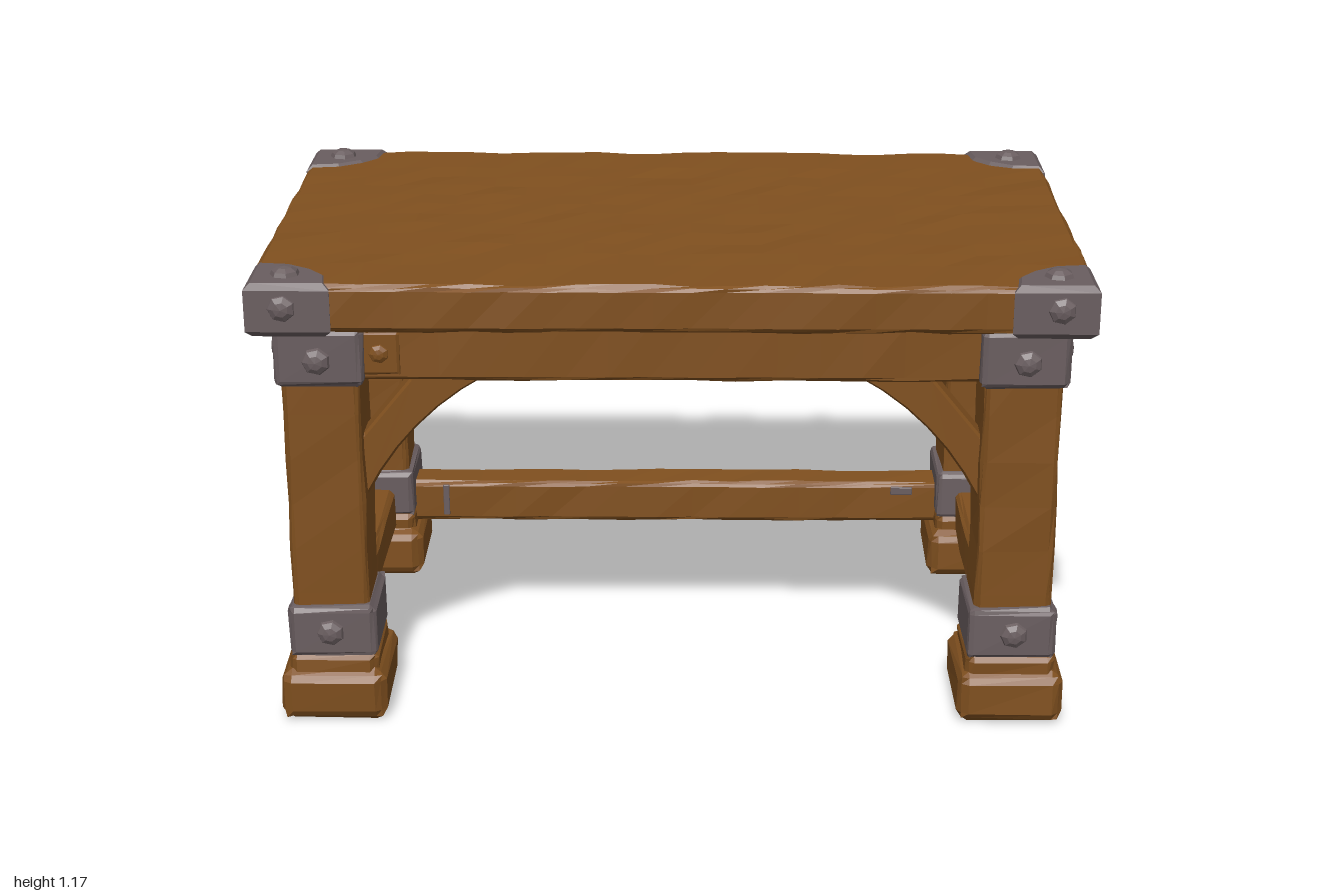
import * as THREE from 'three';

const wood = new THREE.MeshStandardMaterial({ color: 0x80501f, flatShading: true });
wood.name = 'warm wood';
const iron = new THREE.MeshStandardMaterial({ color: 0x6a5e60, flatShading: true });
iron.name = 'grey iron';

// repeatable unevenness that depends only on position, so seams stay closed
function noise(x, y, z) {
  const s = Math.sin(x * 127.1 + y * 311.7 + z * 74.7) * 43758.5453;
  return (s - Math.floor(s)) * 2 - 1;
}

// hand-hewn block between two corners: chamfered edges, slightly uneven faces
function hewn(parent, name, mat, min, max, bevel = 0.016, step = 0.12, rough = 0.003) {
  const size = max.map((v, i) => v - min[i]);
  const n = size.map(s => Math.max(3, Math.round(s / step)));
  const geo = new THREE.BoxGeometry(...size, ...n);
  const pos = geo.attributes.position;
  for (let i = 0; i < pos.count; i++) {
    const p = pos.getComponent ? [0, 1, 2].map(a => pos.getComponent(i, a)) : [pos.getX(i), pos.getY(i), pos.getZ(i)];
    const t = p.map((v, a) => Math.round((v / size[a] + 0.5) * n[a]));
    const end = t.map((v, a) => v === 0 ? -1 : v === n[a] ? 1 : 0);
    const ends = end.filter(e => e !== 0).length;
    const centre = min.map((v, a) => (v + max[a]) / 2);
    const key = t.map((v, a) => v * 0.37 + centre[a]);
    const out = p.map((v, a) => {
      let q = v;
      if (t[a] === 1) q = -size[a] / 2 + bevel;
      if (t[a] === n[a] - 1) q = size[a] / 2 - bevel;
      if (ends > 1) q -= end[a] * bevel * 0.4;
      const k = noise(key[0] + a, key[1], key[2]);
      return q + centre[a] + (end[a] ? k * rough : 0);
    });
    pos.setXYZ(i, ...out);
  }
  geo.computeVertexNormals();
  const mesh = new THREE.Mesh(geo, mat);
  mesh.name = name;
  parent.add(mesh);
  return mesh;
}

// faceted rivet whose dome points along the given direction
function rivet(parent, at, dir, mat = iron, r = 0.036) {
  const geo = new THREE.SphereGeometry(r, 7, 3, 0, Math.PI * 2, 0, Math.PI / 2);
  geo.scale(1, 0.6, 1);
  const mesh = new THREE.Mesh(geo, mat);
  mesh.name = 'rivet';
  mesh.position.set(...at);
  mesh.quaternion.setFromUnitVectors(new THREE.Vector3(0, 1, 0), new THREE.Vector3(...dir));
  parent.add(mesh);
}

// curved knee brace: leg side at u = 0, growing along +u under the apron
function braceGeometry(reach, rise, width) {
  const s = new THREE.Shape();
  s.moveTo(-0.02, 0.55);
  s.lineTo(0, 0.565);
  s.quadraticCurveTo(reach * 0.36, 0.565 + rise * 0.68, reach, 0.88);
  s.lineTo(reach, 0.9);
  s.lineTo(0.13, 0.9);
  s.lineTo(0.115, 0.87);
  s.lineTo(0, 0.73);
  s.lineTo(-0.02, 0.73);
  s.closePath();
  const geo = new THREE.ExtrudeGeometry(s, {
    depth: width - 0.02, curveSegments: 6, bevelSize: 0.006, bevelOffset: -0.006,
    bevelThickness: 0.01, bevelSegments: 1,
  });
  geo.translate(0, 0, -(width - 0.02) / 2);
  return geo;
}

// corner iron for the table top, with its inner corner cut off
function topIronGeometry(sx, sz) {
  const pts = [[0.79, 0.6], [0.985, 0.6], [0.985, 0.42], [0.9, 0.43], [0.84, 0.47], [0.8, 0.52]];
  const s = new THREE.Shape(pts.map(([x, z]) => new THREE.Vector2(x * sx, -z * sz)));
  const geo = new THREE.ExtrudeGeometry(s, {
    depth: 0.1, bevelSize: 0.015, bevelOffset: -0.013, bevelThickness: 0.015, bevelSegments: 1,
  });
  geo.rotateX(-Math.PI / 2);
  geo.translate(0, 1.031, 0);
  return geo;
}

// box given by half extents mirrored to one corner of the table
function cornerBox(parent, name, mat, sx, sz, x, y, z, bevel, step) {
  const xs = x.map(v => v * sx).sort((a, b) => a - b);
  const zs = z.map(v => v * sz).sort((a, b) => a - b);
  hewn(parent, name, mat, [xs[0], y[0], zs[0]], [xs[1], y[1], zs[1]], bevel, step);
}

export function createModel() {
  const table = new THREE.Group();
  table.name = 'table';

  hewn(table, 'tableTop', wood, [-0.985, 1.025, -0.592], [0.985, 1.14, 0.592], 0.014, 0.085, 0.0035);

  // legs with feet, irons, rivets and braces
  const longBrace = braceGeometry(0.3, 0.31, 0.09);
  const shortBrace = braceGeometry(0.25, 0.31, 0.09);
  for (const sx of [-1, 1]) for (const sz of [-1, 1]) {
    const leg = new THREE.Group();
    leg.name = `${sz > 0 ? 'front' : 'back'}${sx > 0 ? 'Left' : 'Right'}Leg`;
    table.add(leg);
    cornerBox(leg, 'post', wood, sx, sz, [0.738, 0.925], [0.1, 1.03], [0.338, 0.528], 0.014);
    cornerBox(leg, 'foot', wood, sx, sz, [0.703, 0.963], [0, 0.135], [0.288, 0.57], 0.028, 0.09);
    cornerBox(leg, 'footCollar', wood, sx, sz, [0.722, 0.942], [0.1, 0.18], [0.318, 0.55], 0.02, 0.09);
    cornerBox(leg, 'lowerIron', iron, sx, sz, [0.722, 0.938], [0.165, 0.302], [0.32, 0.548], 0.016, 0.08);
    cornerBox(leg, 'upperIron', iron, sx, sz, [0.725, 0.938], [0.872, 1.02], [0.325, 0.548], 0.016, 0.08);

    const topIron = new THREE.Mesh(topIronGeometry(sx, sz), iron);
    topIron.name = 'topCornerIron';
    leg.add(topIron);
    rivet(leg, [0.9 * sx, 1.145, 0.52 * sz], [0, 1, 0]);
    rivet(leg, [0.9 * sx, 1.088, 0.595 * sz], [0, 0, sz]);
    rivet(leg, [0.98 * sx, 1.088, 0.505 * sz], [sx, 0, 0]);
    for (const y of [0.235, 0.94]) {
      rivet(leg, [0.835 * sx, y, 0.545 * sz], [0, 0, sz]);
      rivet(leg, [0.935 * sx, y, 0.435 * sz], [sx, 0, 0]);
    }

    const along = new THREE.Mesh(longBrace, wood);
    along.name = 'longBrace';
    along.position.set(0.74 * sx, 0, 0.435 * sz);
    along.rotation.y = sx > 0 ? Math.PI : 0;
    const across = new THREE.Mesh(shortBrace, wood);
    across.name = 'shortBrace';
    across.position.set(0.83 * sx, 0, 0.34 * sz);
    across.rotation.y = sz > 0 ? Math.PI / 2 : -Math.PI / 2;
    leg.add(along, across);
  }

  // aprons below the top
  for (const s of [-1, 1]) {
    hewn(table, 'longApron', wood, [-0.75, 0.877, s * 0.445 - 0.065], [0.75, 1.03, s * 0.445 + 0.065], 0.012, 0.1);
    hewn(table, 'shortApron', wood, [s * 0.84 - 0.065, 0.877, -0.36], [s * 0.84 + 0.065, 1.03, 0.36], 0.012, 0.1);
    hewn(table, 'sideStretcher', wood, [s * 0.832 - 0.055, 0.13, -0.34], [s * 0.832 + 0.055, 0.248, 0.34], 0.014, 0.1);
  }
  hewn(table, 'backStretcher', wood, [-0.74, 0.13, -0.49], [0.74, 0.248, -0.38], 0.014, 0.1);

  // small pegged block on the front apron
  hewn(table, 'pegBlock', wood, [-0.74, 0.895, 0.48], [-0.64, 1.005, 0.52], 0.008);
  rivet(table, [-0.69, 0.95, 0.517], [0, 0, 1], wood, 0.026);

  // little iron inlays
  hewn(table, 'stretcherInlay', iron, [-0.647, 0.15, -0.382], [-0.63, 0.24, -0.374], 0.002, 0.12, 0);
  hewn(table, 'stretcherInlay', iron, [0.6, 0.215, -0.382], [0.66, 0.238, -0.374], 0.002, 0.12, 0);
  hewn(table, 'apronInlay', iron, [0.54, 0.91, 0.375], [0.68, 0.985, 0.383], 0.002, 0.12, 0);

  return table;
}
